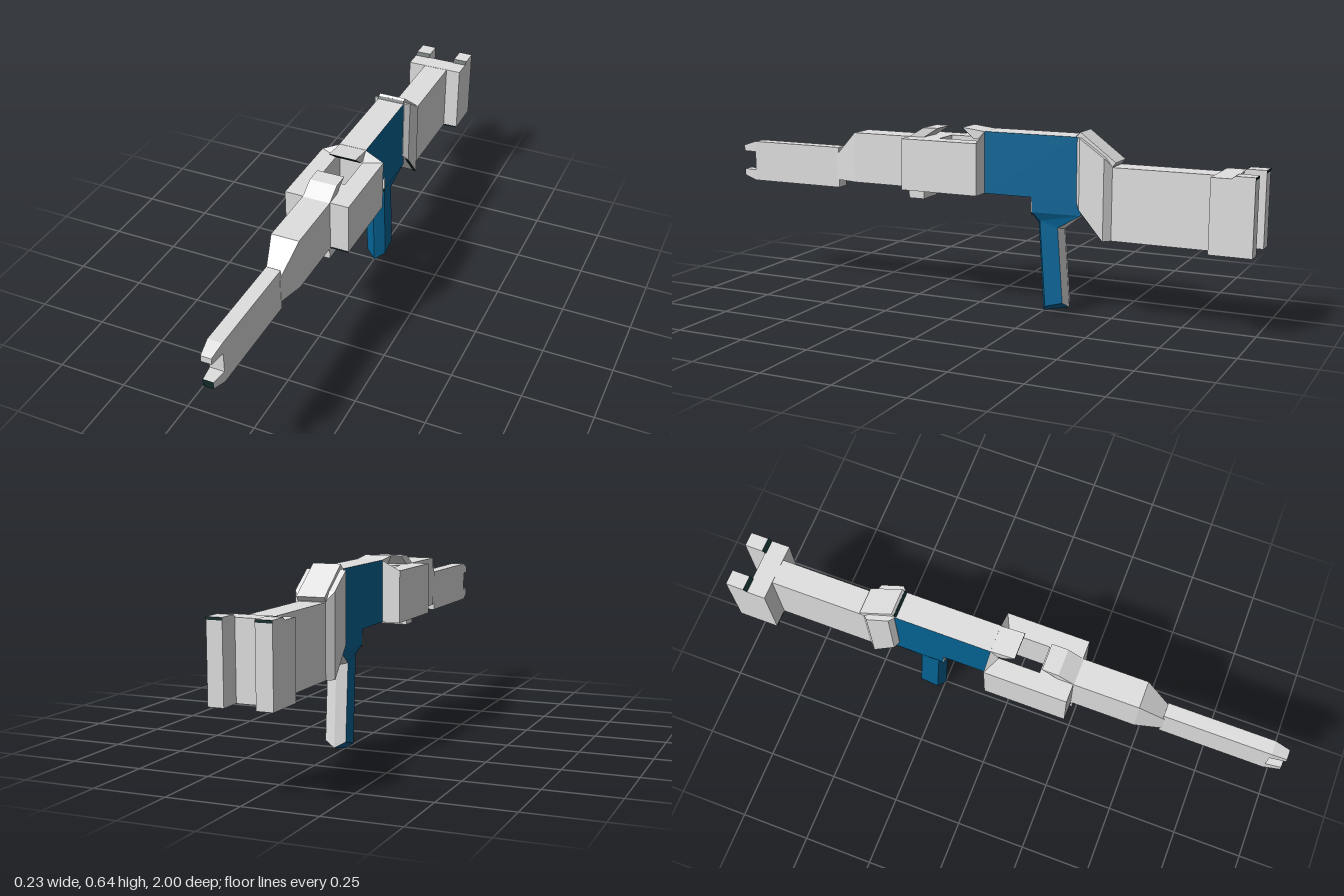
import * as THREE from 'three';

export function createModel() {
  const model = new THREE.Group();
  const grey = new THREE.MeshStandardMaterial({ color: 0xe0e0e0, name: 'light grey' });
  const blue = new THREE.MeshStandardMaterial({ color: 0x046597, name: 'blue' });
  const dark = new THREE.MeshStandardMaterial({ color: 0x122a2a, name: 'dark trim' });

  const add = (name, geo, mat = grey) => {
    const m = new THREE.Mesh(geo, mat);
    m.name = name;
    model.add(m);
    return m;
  };

  // Box given by its limits on each axis
  const box = (name, x0, x1, y0, y1, z0, z1, mat) =>
    add(name, new THREE.BoxGeometry(x1 - x0, y1 - y0, z1 - z0)
      .translate((x0 + x1) / 2, (y0 + y1) / 2, (z0 + z1) / 2), mat);

  // Side profile of [z, y] points, extruded across x
  const slab = (name, half, pts, mat, x = 0) => {
    const shape = new THREE.Shape(pts.map(p => new THREE.Vector2(...p)));
    const geo = new THREE.ExtrudeGeometry(shape, { depth: half * 2, bevelEnabled: false });
    return add(name, geo.translate(0, 0, -half).rotateY(-Math.PI / 2).translate(x, 0, 0), mat);
  };

  // Closed loft through rings of points; altSides get the second material
  const loft = (name, rings, mats, altSides = []) => {
    const main = [], alt = [], n = rings[0].length;
    for (let r = 0; r + 1 < rings.length; r++) {
      for (let i = 0; i < n; i++) {
        const j = (i + 1) % n, a = rings[r], b = rings[r + 1];
        (altSides.includes(i) ? alt : main).push(a[i], a[j], b[j], a[i], b[j], b[i]);
      }
    }
    const s = rings[0], e = rings[rings.length - 1];
    for (let i = 1; i + 1 < n; i++) main.push(s[0], s[i + 1], s[i], e[0], e[i], e[i + 1]);
    const geo = new THREE.BufferGeometry();
    geo.setAttribute('position', new THREE.Float32BufferAttribute([...main, ...alt].flat(), 3));
    geo.computeVertexNormals();
    geo.addGroup(0, main.length, 0);
    if (alt.length) geo.addGroup(main.length, alt.length, 1);
    return add(name, geo, mats);
  };

  // Rectangular section: z, half width, bottom, top
  const rect = ([z, w, y0, y1]) => [[-w, y0, z], [w, y0, z], [w, y1, z], [-w, y1, z]];

  // Barrel with forked muzzle
  box('barrel', -0.025, 0.025, 0.38, 0.53, 0.57, 0.945);
  loft('upperProng', [[0.945, 0.025, 0.49, 0.53], [1, 0.018, 0.49, 0.512]].map(rect), [grey]);
  loft('lowerProng', [[0.945, 0.025, 0.38, 0.42], [0.999, 0.018, 0.395, 0.42]].map(rect), [grey, dark], [0]);
  box('muzzleTrim', -0.018, 0.018, 0.395, 0.42, 0.999, 1, dark);

  // Fore body with tapered nose
  loft('foreBody', [[0.135, 0.049, 0.41, 0.593], [0.485, 0.049, 0.41, 0.593],
    [0.577, 0.026, 0.41, 0.503]].map(rect), [grey]);
  box('lowerBlock', -0.049, 0.049, 0.37, 0.41, 0.2, 0.26);
  slab('frontSight', 0.049, [[0.258, 0.592], [0.2, 0.627], [0.142, 0.628], [0.2, 0.592]]);

  // Side housings around the open slot, each with a corner fillet
  for (const s of [-1, 1]) {
    const x0 = Math.min(s * 0.049, s * 0.115), x1 = Math.max(s * 0.049, s * 0.115);
    box('sideHousing', x0, x1, 0.41, 0.593, -0.04, 0.254);
    box('housingTrim', x0, x1, 0.41, 0.415, 0.254, 0.255, dark);
    const a = [s * 0.115, 0.593, -0.04], b = [s * 0.049, 0.627, -0.04];
    const c = [s * 0.049, 0.593, -0.01], d = [s * 0.049, 0.593, -0.04];
    const faces = s > 0 ? [[a, b, c], [a, d, b], [b, d, c]] : [[a, c, b], [a, b, d], [b, c, d]];
    const geo = new THREE.BufferGeometry();
    geo.setAttribute('position', new THREE.Float32BufferAttribute(faces.flat(2), 3));
    geo.computeVertexNormals();
    add('housingFillet', geo);
  }

  // Receiver: blue flanks, grey top and underside
  slab('receiver', 0.05, [[-0.04, 0.41], [-0.04, 0.628], [-0.385, 0.628], [-0.385, 0.41]], [blue, grey]);
  slab('slotHood', 0.049, [[0.045, 0.637], [-0.04, 0.627], [-0.04, 0.6], [0, 0.6]]);
  slab('hoodTrim', 0.049, [[0.045, 0.637], [0, 0.6], [0.002, 0.599], [0.047, 0.636]], dark);

  // Grip flowing into its shoulder: ridged front, keeled foot and grey back
  const ring = (w, ridge, front, back, spine) => [
    [0, ...ridge], [w, ...front], [w, ...back], [0, ...spine], [-w, ...back], [-w, ...front],
  ];
  loft('grip', [
    ring(0.037, [0, -0.248], [0.025, -0.268], [0.043, -0.333], [0.022, -0.345]),
    ring(0.037, [0.31, -0.227], [0.328, -0.246], [0.308, -0.312], [0.3, -0.324]),
    ring(0.05, [0.358, -0.222], [0.358, -0.222], [0.36, -0.4], [0.36, -0.4]),
    ring(0.05, [0.411, -0.22], [0.411, -0.22], [0.411, -0.4], [0.411, -0.4]),
  ], [blue, grey], [2, 3]);
  box('shoulderFront', -0.049, 0.049, 0.358, 0.41, -0.224, -0.218);
  box('shoulderTrim', -0.048, 0.048, 0.348, 0.358, -0.224, -0.22, dark);

  // Flared rear collar with dark lower edges, and slanted cover plate
  loft('rearCollar', [[-0.51, 0.045, 0.283, 0.535], [-0.487, 0.069, 0.283, 0.565],
    [-0.4, 0.069, 0.385, 0.626], [-0.385, 0.052, 0.405, 0.627]].map(rect), [grey]);
  for (const s of [-1, 1]) {
    slab('collarTrim', 0.005, [[-0.487, 0.283], [-0.4, 0.385], [-0.398, 0.384], [-0.485, 0.282]], dark, s * 0.063);
  }
  slab('coverPlate', 0.049, [[-0.38, 0.63], [-0.395, 0.645], [-0.522, 0.55], [-0.51, 0.535]]);
  slab('coverTrim', 0.049, [[-0.379, 0.63], [-0.387, 0.638], [-0.389, 0.637], [-0.381, 0.629]], dark);

  // Stock with forked butt
  box('stock', -0.046, 0.046, 0.283, 0.533, -0.925, -0.5);
  box('buttBlock', -0.11, 0.1, 0.282, 0.534, -0.925, -0.855);
  for (const [x0, x1] of [[-0.11, -0.055], [0.048, 0.1]]) {
    const half = (x1 - x0) / 2, mid = (x0 + x1) / 2;
    box('buttProng', x0, x1, 0.282, 0.534, -0.999, -0.925);
    box('buttTrim', x0, x1, 0.282, 0.286, -0.855, -0.854, dark);
    slab('prongCap', half, [[-0.922, 0.533], [-0.935, 0.543], [-0.999, 0.543], [-0.999, 0.533]], grey, mid);
    slab('capTrim', half, [[-0.922, 0.533], [-0.935, 0.543], [-0.934, 0.544], [-0.921, 0.534]], dark, mid);
    box('capRearTrim', x0, x1, 0.534, 0.543, -1, -0.999, dark);
  }

  return model;
}
